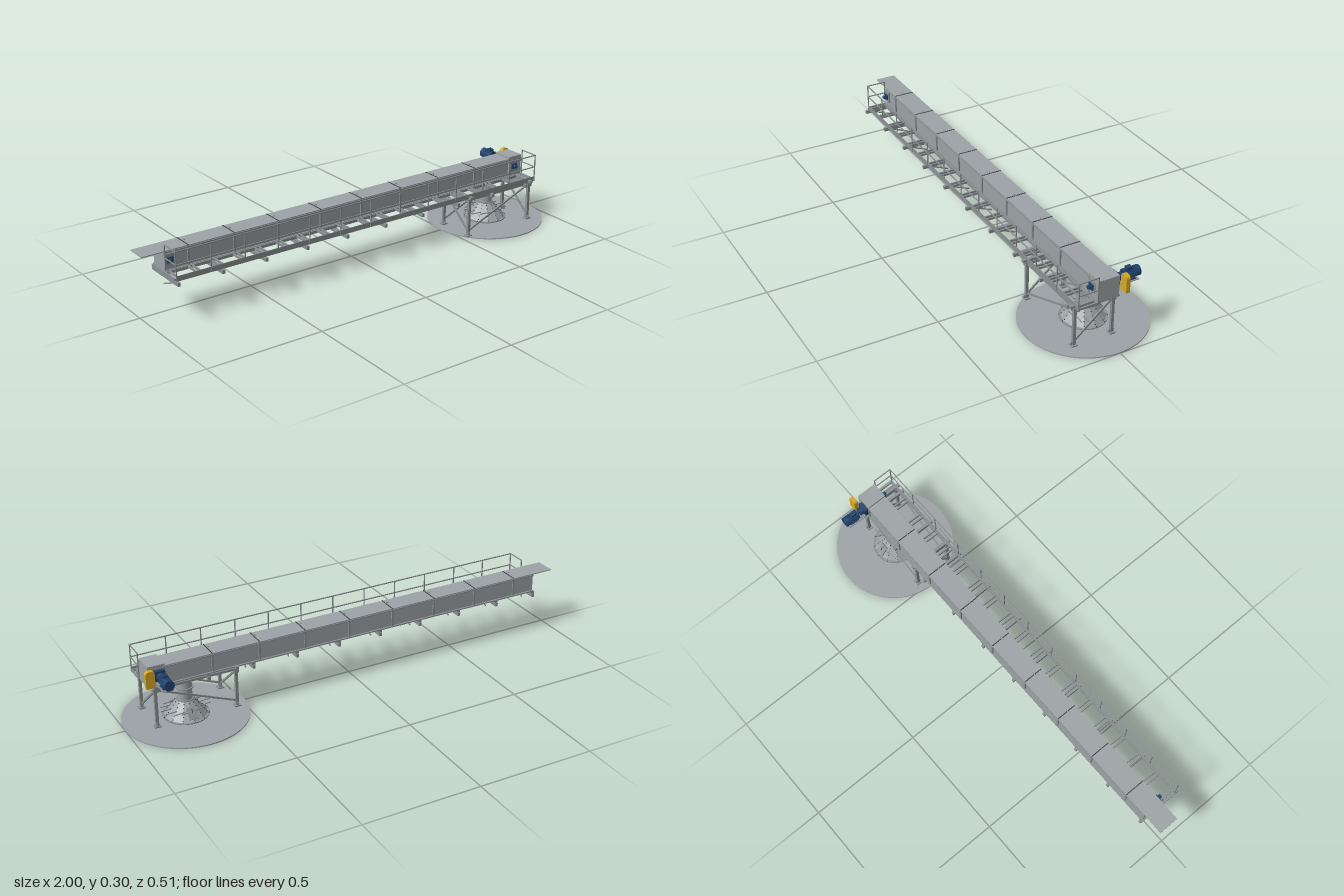
import * as THREE from 'three';

const mat = (name, color, side = THREE.FrontSide) => {
  const m = new THREE.MeshStandardMaterial({ color, side });
  m.name = name;
  return m;
};

export function createModel() {
  const root = new THREE.Group();
  root.name = 'conveyor';
  const steel = mat('galvanised steel', 0x9ca2a5);
  const frame = mat('frame steel', 0x8a9093);
  const dark = mat('dark fixings', 0x3c4043);
  const blue = mat('motor blue', 0x1f4370);
  const yellow = mat('guard yellow', 0xd9a81e);

  const group = (name) => {
    const g = new THREE.Group();
    g.name = name;
    root.add(g);
    return g;
  };
  const add = (parent, name, geo, m, x = 0, y = 0, z = 0) => {
    const o = new THREE.Mesh(geo, m);
    o.name = name;
    o.position.set(x, y, z);
    parent.add(o);
    return o;
  };
  // box given by its limits on each axis
  const box = (p, name, m, x0, x1, y0, y1, z0, z1) =>
    add(p, name, new THREE.BoxGeometry(x1 - x0, y1 - y0, z1 - z0), m, (x0 + x1) / 2, (y0 + y1) / 2, (z0 + z1) / 2);
  // square bar between two points
  const bar = (p, name, m, a, b, t, h = t) => {
    const A = new THREE.Vector3(...a), B = new THREE.Vector3(...b);
    const o = add(p, name, new THREE.BoxGeometry(t, h, A.distanceTo(B)), m);
    o.position.copy(A).lerp(B, 0.5);
    o.lookAt(B);
    return o;
  };
  // cylinder lying along z
  const drum = (p, name, m, r, x, y, z0, z1, n = 24) => {
    const o = add(p, name, new THREE.CylinderGeometry(r, r, z1 - z0, n), m, x, y, (z0 + z1) / 2);
    o.rotation.x = Math.PI / 2;
    return o;
  };

  // Conveyor casing, cover and head box
  const casing = group('casing');
  box(casing, 'trough', steel, -0.905, 0.84, 0.19, 0.267, -0.041, 0.041);
  box(casing, 'cover', steel, -1, 0.84, 0.267, 0.271, -0.044, 0.044);
  box(casing, 'headBox', steel, 0.835, 0.908, 0.185, 0.279, -0.044, 0.045);
  for (const s of [-1, 1]) {
    const z = s * 0.043;
    box(casing, 'bottomFlange', frame, -0.905, 0.908, 0.186, 0.191, z - 0.006, z + 0.006);
    box(casing, 'topFlange', frame, -0.905, 0.835, 0.262, 0.266, z - 0.003, z + 0.003);
  }
  const tri = new THREE.Shape([[-0.009, 0.007], [0.009, 0.007], [0, -0.002]].map(p => new THREE.Vector2(...p)));
  tri.holes.push(new THREE.Path([[-0.006, 0.0055], [0, 0], [0.006, 0.0055]].map(p => new THREE.Vector2(...p))));
  const handle = new THREE.ExtrudeGeometry(tri, { depth: 0.003, bevelEnabled: false });
  for (let i = 0; i < 9; i++) {
    const x = -0.8 + i * 0.205;
    box(casing, 'coverSeam', dark, x - 0.002, x + 0.002, 0.271, 0.2725, -0.044, 0.044);
    for (const s of [-1, 1]) box(casing, 'sideRib', frame, x - 0.004, x + 0.004, 0.19, 0.267, s * 0.0435 - 0.0025, s * 0.0435 + 0.0025);
    if (i < 8) add(casing, 'coverHandle', handle, frame, x, 0.272, 0.004);
  }

  // Shaft bearings on the walkway side
  for (const x of [-0.885, 0.863]) {
    const b = group('shaftBearing');
    box(b, 'bearingPlate', frame, x - 0.02, x + 0.02, 0.21, 0.257, 0.041, 0.048);
    box(b, 'bearingHousing', blue, x - 0.013, x + 0.013, 0.223, 0.245, 0.048, 0.055);
    drum(b, 'bearingCap', blue, 0.008, x, 0.234, 0.055, 0.066, 16);
    drum(b, 'shaftEnd', dark, 0.003, x, 0.234, 0.066, 0.069, 10);
  }

  // Walkway deck
  const walk = group('walkway');
  for (const z of [0.053, 0.131]) box(walk, 'deckBeam', frame, -0.905, 0.912, 0.178, 0.19, z - 0.003, z + 0.003);
  for (let i = 0; i < 19; i++) {
    const x = -0.9 + i * 0.1;
    for (const d of [-0.009, 0.009]) box(walk, 'deckCrossbar', frame, x + d - 0.003, x + d + 0.003, 0.182, 0.191, 0.053, 0.131);
  }
  // Handrail with end frames
  const rail = group('handrail');
  for (const y of [0.245, 0.299]) {
    box(rail, 'longRail', frame, -0.905, 0.91, y - 0.002, y + 0.002, 0.131, 0.135);
    for (const x of [-0.905, 0.91]) box(rail, 'endRail', frame, x - 0.002, x + 0.002, y - 0.002, y + 0.002, 0.049, 0.135);
  }
  box(rail, 'toeBoard', frame, -0.905, 0.91, 0.19, 0.2, 0.132, 0.134);
  for (let i = 0; i < 13; i++) {
    const x = -0.905 + i * 0.15125;
    box(rail, 'post', frame, x - 0.002, x + 0.002, 0.178, 0.301, 0.131, 0.135);
  }
  for (const x of [-0.905, 0.91]) box(rail, 'innerPost', frame, x - 0.002, x + 0.002, 0.185, 0.301, 0.047, 0.051);

  // Crossbeams with diagonal struts
  const beams = group('crossbeams');
  for (let i = 0; i < 10; i++) {
    const x = -0.903 + i * 0.195;
    box(beams, 'crossbeam', frame, x - 0.006, x + 0.006, 0.163, 0.178, -0.055, 0.148);
    box(beams, 'beamSeat', frame, x - 0.008, x + 0.008, 0.178, 0.188, -0.05, 0.05);
    bar(beams, 'strut', frame, [x, 0.165, 0.11], [x, 0.131, 0.028], 0.005);
  }

  // Support trestle
  const trestle = group('trestle');
  const legX = [0.535, 0.88], legZ = [-0.037, 0.13];
  for (const x of legX) {
    for (const z of legZ) {
      box(trestle, 'leg', frame, x - 0.006, x + 0.006, 0.008, 0.178, z - 0.006, z + 0.006);
      box(trestle, 'foot', frame, x - 0.013, x + 0.013, 0.005, 0.01, z - 0.012, z + 0.012);
      box(trestle, 'legCap', frame, x - 0.01, x + 0.01, 0.16, 0.18, z - 0.01, z + 0.01);
      box(trestle, 'footGusset', frame, x - 0.002, x + 0.002, 0.01, 0.022, z - 0.011, z + 0.011);
    }
    box(trestle, 'headBeam', frame, x - 0.007, x + 0.007, 0.178, 0.19, -0.055, 0.15);
    box(trestle, 'lowerHeadBeam', frame, x - 0.005, x + 0.005, 0.163, 0.174, -0.037, 0.13);
    bar(trestle, 'endBrace', frame, [x, 0.028, 0.125], [x, 0.165, -0.034], 0.006, 0.008);
  }
  for (const z of legZ) {
    box(trestle, 'sideBeam', frame, 0.535, 0.88, 0.168, 0.178, z - 0.004, z + 0.004);
    bar(trestle, 'sideBrace', frame, [0.538, 0.03, z], [0.876, 0.168, z], 0.005, 0.007);
  }

  // Round base, discharge cone and spout
  const cx = 0.743;
  add(root, 'basePlate', new THREE.CylinderGeometry(0.257, 0.257, 0.005, 72), steel, cx, 0.0025, 0);
  const spout = group('dischargeSpout');
  spout.position.x = cx;
  const coneGeo = new THREE.CylinderGeometry(0.034, 0.088, 0.066, 12).toNonIndexed();
  coneGeo.computeVertexNormals();
  add(spout, 'cone', coneGeo, steel, 0, 0.046, 0);
  add(spout, 'coneFlange', new THREE.CylinderGeometry(0.095, 0.095, 0.004, 36), frame, 0, 0.011, 0);
  add(spout, 'coneFooting', new THREE.CylinderGeometry(0.088, 0.088, 0.006, 36), frame, 0, 0.007, 0);
  add(spout, 'pipe', new THREE.CylinderGeometry(0.03, 0.03, 0.112, 32), steel, 0, 0.134, 0);
  for (const y of [0.08, 0.132, 0.182]) add(spout, 'pipeFlange', new THREE.CylinderGeometry(0.036, 0.036, 0.004, 32), frame, 0, y, 0);
  const bolt = new THREE.BoxGeometry(0.003, 0.003, 0.003);
  for (let i = 0; i < 12; i++) {
    const a = (i / 12) * Math.PI * 2, s = Math.sin(a), c = Math.cos(a);
    bar(spout, 'coneSeam', frame, [s * 0.089, 0.013, c * 0.089], [s * 0.035, 0.079, c * 0.035], 0.003);
    for (let k = 0; k < 5; k++) {
      const t = 0.1 + k * 0.2, r = 0.09 - 0.054 * t;
      add(spout, 'seamBolt', bolt, dark, s * r, 0.013 + 0.066 * t, c * r);
    }
    add(spout, 'flangeBolt', bolt, dark, s * 0.092, 0.014, c * 0.092);
  }
  // Inspection hatch on the back of the cone
  const hatch = group('inspectionHatch');
  bar(hatch, 'hatchDoor', frame, [cx, 0.024, -0.085], [cx, 0.062, -0.052], 0.036, 0.006);
  for (const d of [-0.012, 0.012]) bar(hatch, 'hatchBracket', dark, [cx + d, 0.026, -0.052], [cx + d, 0.026, -0.084], 0.003);
  const ring = add(hatch, 'hatchHandle', new THREE.TorusGeometry(0.008, 0.0015, 6, 16), dark, cx, 0.05, -0.065);
  ring.rotation.y = Math.PI / 2;

  // Drive: gearbox, belt guard and finned motor
  const drive = group('drive');
  const mx = 0.863, my = 0.238;
  box(drive, 'gearbox', blue, mx - 0.022, mx + 0.022, 0.214, 0.26, -0.062, -0.044);
  drum(drive, 'gearboxNeck', blue, 0.016, mx, my, -0.08, -0.062);
  const guardShape = new THREE.Shape();
  guardShape.moveTo(-0.019, -0.037).lineTo(0.019, -0.037).lineTo(0.019, 0.022);
  guardShape.quadraticCurveTo(0.019, 0.037, 0, 0.037).quadraticCurveTo(-0.019, 0.037, -0.019, 0.022);
  add(drive, 'beltGuard', new THREE.ExtrudeGeometry(guardShape, { depth: 0.017, bevelEnabled: false }), yellow, 0.909, 0.24, -0.078);
  drum(drive, 'driveShaft', dark, 0.005, mx, my, -0.092, -0.06, 12);
  drum(drive, 'motorFrontFlange', blue, 0.022, mx, my + 0.003, -0.094, -0.089);
  drum(drive, 'motorBody', blue, 0.018, mx, my + 0.003, -0.14, -0.089);
  drum(drive, 'fanCowl', blue, 0.0215, mx, my + 0.003, -0.157, -0.139);
  for (let i = 0; i < 20; i++) {
    const f = box(drive, 'coolingFin', blue, -0.001, 0.001, -0.021, 0.021, -0.139, -0.094);
    f.position.set(mx, my + 0.003, -0.1165);
    f.rotation.z = (i / 20) * Math.PI;
  }
  box(drive, 'terminalBox', blue, mx - 0.01, mx + 0.01, 0.258, 0.27, -0.123, -0.101);
  add(drive, 'liftingEye', new THREE.CylinderGeometry(0.001, 0.001, 0.01, 6), dark, mx, 0.274, -0.109);
  box(drive, 'motorFeet', blue, mx - 0.018, mx + 0.018, 0.217, 0.222, -0.135, -0.095);
  box(drive, 'motorShelf', frame, mx - 0.024, mx + 0.024, 0.214, 0.217, -0.148, -0.06);

  return root;
}
